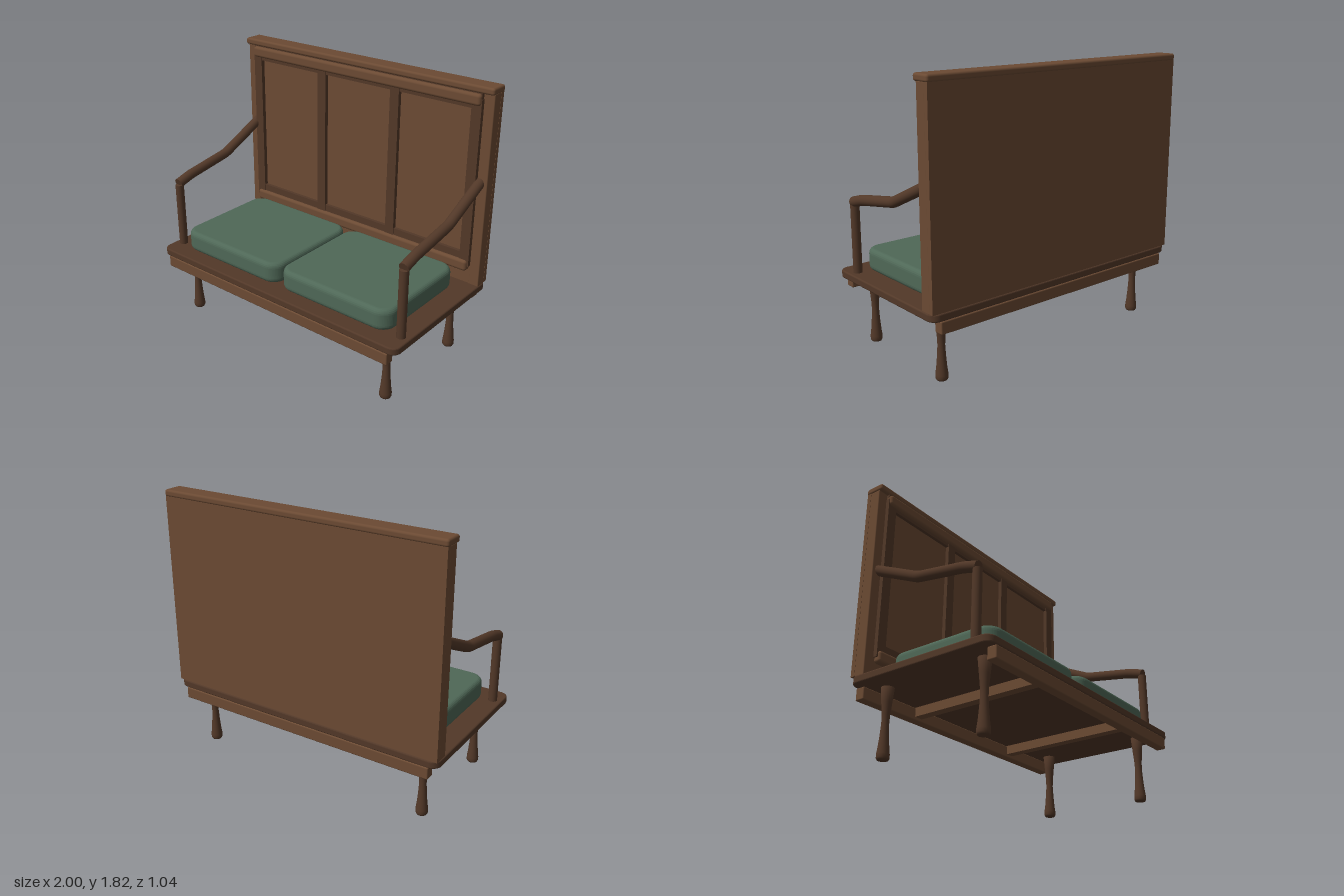
import * as THREE from 'three';
import { RoundedBoxGeometry } from 'three/addons/geometries/RoundedBoxGeometry.js';

const lightWood = new THREE.MeshStandardMaterial({ color: 0x6b4a33 });
const darkWood = new THREE.MeshStandardMaterial({ color: 0x523828 });
const fabric = new THREE.MeshStandardMaterial({ color: 0x4f6857 });

export function createModel() {
  const model = new THREE.Group();
  model.name = 'bench';

  const add = (name, geometry, material, x = 0, y = 0, z = 0) => {
    const mesh = new THREE.Mesh(geometry, material);
    mesh.name = name;
    mesh.position.set(x, y, z);
    model.add(mesh);
    return mesh;
  };

  // Box given by its limits on each axis, with softened edges when r > 0
  const block = (name, material, [x0, x1], [y0, y1], [z0, z1], r = 0) => {
    const size = [x1 - x0, y1 - y0, z1 - z0];
    const geometry = r ? new RoundedBoxGeometry(...size, 3, r) : new THREE.BoxGeometry(...size);
    return add(name, geometry, material, (x0 + x1) / 2, (y0 + y1) / 2, (z0 + z1) / 2);
  };

  // Horizontal slab with rounded corners and bevelled rims, standing on y = 0
  const slab = (w, d, h, corner, bevel, rim) => {
    const a = w / 2 - bevel, b = d / 2 - bevel, r = corner - bevel;
    const s = new THREE.Shape();
    s.absarc(a - r, b - r, r, 0, Math.PI / 2);
    s.absarc(-a + r, b - r, r, Math.PI / 2, Math.PI);
    s.absarc(-a + r, -b + r, r, Math.PI, Math.PI * 1.5);
    s.absarc(a - r, -b + r, r, Math.PI * 1.5, Math.PI * 2);
    s.closePath();
    const geometry = new THREE.ExtrudeGeometry(s, {
      depth: h - 2 * rim, bevelSize: bevel, bevelThickness: rim, bevelSegments: 5, curveSegments: 8,
    });
    return geometry.translate(0, 0, rim).rotateX(-Math.PI / 2);
  };

  // Seat board, aprons and the braces beneath
  add('seatBoard', slab(2, 1.045, 0.05, 0.06, 0.01, 0.01), darkWood, 0, 0.44, 0.0025);
  block('frontApron', lightWood, [-0.94, 0.94], [0.36, 0.44], [0.46, 0.525], 0.008);
  block('rearApron', lightWood, [-0.94, 0.94], [0.36, 0.44], [-0.52, -0.455], 0.008);
  for (const x of [-0.47, 0.47]) {
    block('seatBrace', lightWood, [x - 0.03, x + 0.03], [0.38, 0.445], [-0.46, 0.465]);
  }

  // Turned legs
  const legProfile = [
    [0, 0], [0.033, 0], [0.039, 0.012], [0.039, 0.035], [0.033, 0.08], [0.027, 0.15],
    [0.023, 0.22], [0.025, 0.27], [0.032, 0.345], [0.041, 0.44], [0, 0.44],
  ].map(([r, y]) => new THREE.Vector2(r, y));
  for (const x of [-0.835, 0.835]) {
    for (const z of [-0.365, 0.365]) {
      add('leg', new THREE.LatheGeometry(legProfile, 20), darkWood, x, 0, z);
    }
  }

  // Seat cushions
  for (const side of [-1, 1]) {
    add('cushion', slab(0.86, 0.77, 0.145, 0.1, 0.03, 0.036), fabric, side * 0.438, 0.49, 0.045);
  }

  // Back: board, inset panel, framing, rails and cap
  block('backBoard', lightWood, [-0.995, 0.995], [0.49, 1.78], [-0.515, -0.485]);
  block('backPanel', lightWood, [-0.93, 0.93], [0.49, 1.78], [-0.486, -0.415]);
  for (const x of [-0.89, -0.3, 0.3, 0.89]) {
    block('backStile', darkWood, [x - 0.034, x + 0.034], [0.62, 1.74], [-0.43, -0.387]);
  }
  block('lowerFrame', darkWood, [-0.92, 0.92], [0.62, 0.71], [-0.43, -0.392]);
  block('upperFrame', darkWood, [-0.92, 0.92], [1.675, 1.775], [-0.43, -0.392]);
  block('lowerRail', lightWood, [-0.915, 0.915], [0.585, 0.662], [-0.43, -0.37], 0.02);
  block('upperRail', lightWood, [-0.92, 0.92], [1.697, 1.772], [-0.43, -0.37], 0.02);
  block('topCap', lightWood, [-1, 1], [1.775, 1.82], [-0.52, -0.385], 0.015);

  // Back posts and the arms that run into them
  for (const side of [-1, 1]) {
    const x = side * 0.96;
    block('backPost', lightWood, [x - 0.035, x + 0.035], [0.485, 1.78], [-0.487, -0.41], 0.006);

    const armX = side * 0.94;
    add('armPost', new THREE.CylinderGeometry(0.029, 0.029, 0.455, 20), darkWood, armX, 0.7125, 0.383);

    const points = [[0.952, 0.39], [0.984, 0.28], [1.042, -0.07], [1.207, -0.425]]
      .map(([y, z]) => new THREE.Vector3(armX, y, z));
    const path = new THREE.CurvePath();
    // Straight runs joined by short bends
    let from = points[0];
    for (let i = 1; i < points.length - 1; i++) {
      const p = points[i];
      const before = p.clone().add(points[i - 1].clone().sub(p).setLength(0.025));
      const after = p.clone().add(points[i + 1].clone().sub(p).setLength(0.025));
      path.add(new THREE.LineCurve3(from, before));
      path.add(new THREE.QuadraticBezierCurve3(before, p, after));
      from = after;
    }
    path.add(new THREE.LineCurve3(from, points[3]));
    add('armrest', new THREE.TubeGeometry(path, 48, 0.034, 16), darkWood);

    // Front end of the arm closed with a flat disc
    const end = add('armrestEnd', new THREE.CircleGeometry(0.034, 16), darkWood, ...points[0].toArray());
    end.lookAt(points[0].clone().multiplyScalar(2).sub(points[1]));
  }

  return model;
}
